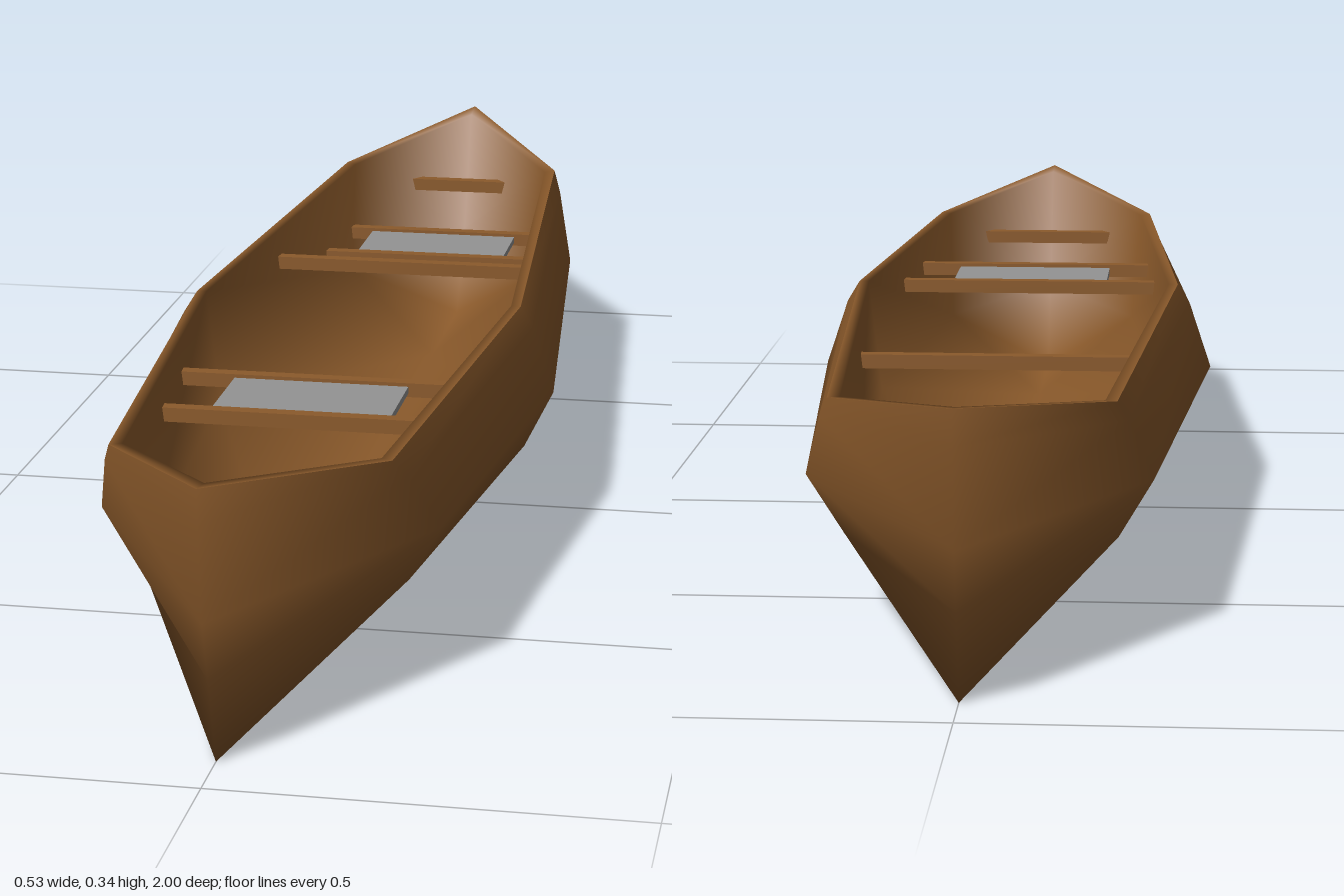
import * as THREE from 'three';
import { mergeVertices } from 'three/addons/utils/BufferGeometryUtils.js';

const wood = new THREE.MeshStandardMaterial({ color: 0x8b5a2b });
wood.name = 'brown wood';
const grey = new THREE.MeshStandardMaterial({ color: 0x949494 });
grey.name = 'grey seat';

// Half sections from rim to keel, [x, y, z]: amidships, shoulder and stem
const outer = {
  mid: [[0.22, 0.3, 0.065], [0.237, 0.272, 0.07], [0.266, 0.185, 0.07], [0.228, 0.108, 0.07], [0, 0.02, 0.06]],
  shoulder: [[0.165, 0.3, 0.74], [0.178, 0.272, 0.71], [0.205, 0.185, 0.63], [0.163, 0.11, 0.61], [0, 0, 0.58]],
  stem: [[0, 0.343, 1], [0, 0.3, 0.998], [0, 0.185, 0.985], [0, 0.11, 0.96], [0, 0, 0.927]],
};
// The inner half sections start on the outer edge of the rim
const inner = {
  mid: [outer.mid[0], [0.207, 0.3, 0.065], [0.19, 0.15, 0.065], [0, 0.045, 0.06]],
  shoulder: [outer.shoulder[0], [0.151, 0.299, 0.73], [0.14, 0.15, 0.65], [0, 0.04, 0.57]],
  stem: [outer.stem[0], [0, 0.337, 0.962], [0, 0.16, 0.9], [0, 0.04, 0.82]],
};

// Full sections from stern to bow, each running from left rim to right rim
function sections({ mid, shoulder, stem }) {
  const back = s => s.map(([x, y, z]) => [x, y, -z]);
  return [back(stem), back(shoulder), mid, shoulder, stem].map(half => [
    ...half,
    ...half.slice(0, -1).reverse().map(([x, y, z]) => [-x, y, z]),
  ]);
}

// Smooth surface through the sections, its diagonals mirrored in both directions
function skin(rows, facesIn) {
  const n = rows[0].length;
  const index = [];
  for (let i = 0; i < rows.length - 1; i++) {
    for (let j = 0; j < n - 1; j++) {
      const a = i * n + j, b = a + n, c = b + 1, d = a + 1;
      const sternHalf = i < (rows.length - 1) / 2, rightHalf = j >= (n - 1) / 2;
      const quad = sternHalf !== rightHalf ? [a, b, d, b, c, d] : [a, b, c, a, c, d];
      index.push(...(facesIn ? quad.reverse() : quad));
    }
  }
  let g = new THREE.BufferGeometry();
  g.setAttribute('position', new THREE.Float32BufferAttribute(rows.flat(2), 3));
  g.setIndex(index);
  g = mergeVertices(g);
  g.computeVertexNormals();
  return g;
}

export function createModel() {
  const model = new THREE.Group();
  model.name = 'canoe';
  const add = (name, geometry, material, y = 0, z = 0) => {
    const mesh = new THREE.Mesh(geometry, material);
    mesh.name = name;
    mesh.position.set(0, y, z);
    model.add(mesh);
  };

  // Hull shell: outside, then rim and inside in one smooth skin
  add('outerHull', skin(sections(outer), false), wood);
  add('rimAndInnerHull', skin(sections(inner), true), wood);

  // Cross bars: [name, z, half width, y]
  const bars = [
    ['sternHandle', -0.835, 0.08, 0.248],
    ['rearSeatBar', -0.678, 0.155, 0.203],
    ['rearSeatBar', -0.525, 0.17, 0.203],
    ['thwart', -0.28, 0.198, 0.255],
    ['frontSeatBar', 0.31, 0.202, 0.254],
    ['frontSeatBar', 0.465, 0.19, 0.254],
    ['bowHandle', 0.8, 0.108, 0.253],
  ];
  for (const [name, z, half, y] of bars) {
    add(name, new THREE.BoxGeometry(half * 2, 0.018, 0.018), wood, y, z);
  }

  // Seat panels held between their bars
  for (const [name, y, z] of [['rearSeat', 0.203, -0.6015], ['frontSeat', 0.254, 0.3875]]) {
    add(name, new THREE.BoxGeometry(0.224, 0.009, 0.138), grey, y, z);
  }
  return model;
}
